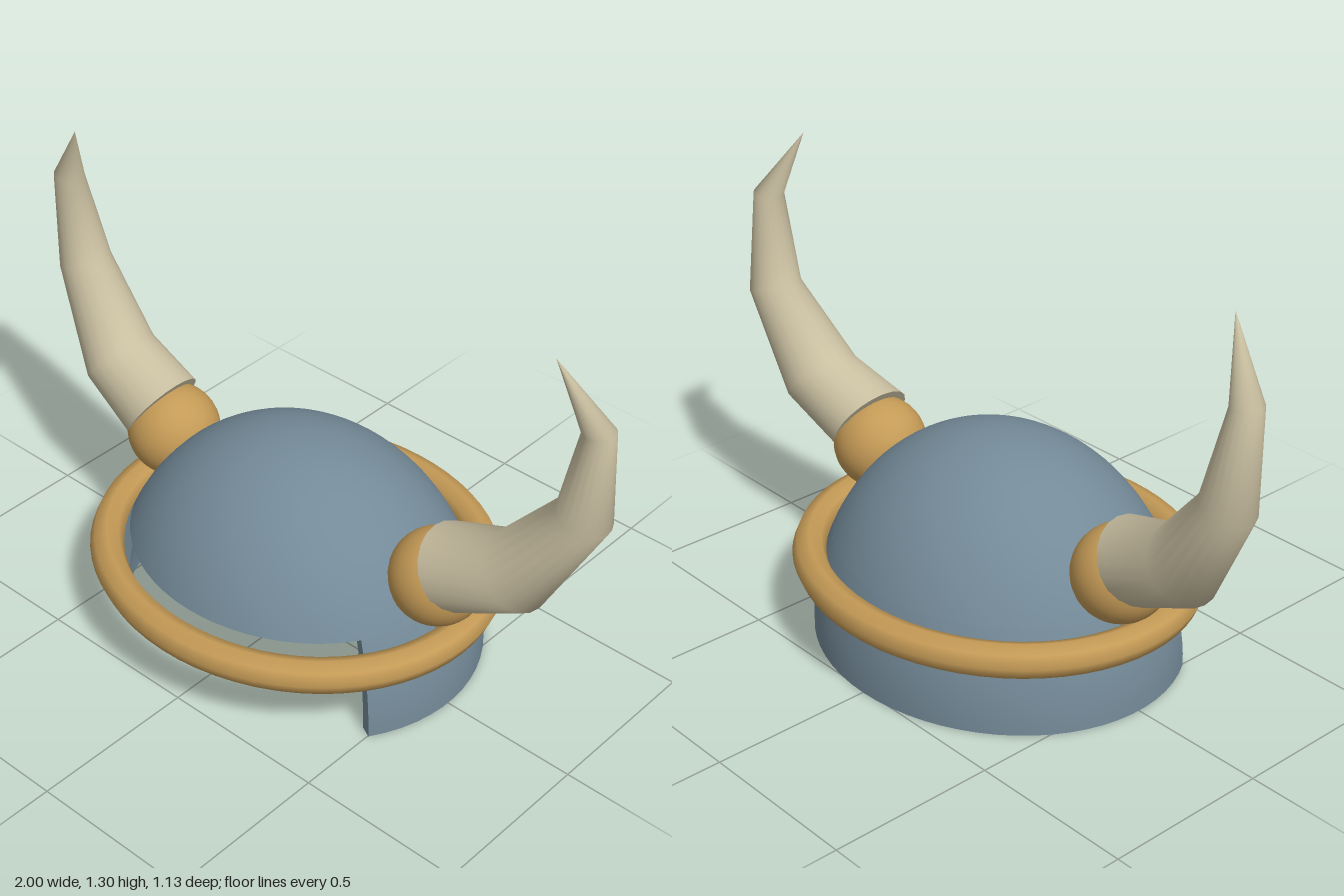
import * as THREE from 'three';
import { toCreasedNormals } from 'three/addons/utils/BufferGeometryUtils.js';

const mat = (color) => new THREE.MeshStandardMaterial({ color, side: THREE.DoubleSide });
const steel = mat(0x748a98), gold = mat(0xc49a56), bone = mat(0xc8bea0);

const RX = 0.58, RY = 0.64, WALL = 0.04, DEPTH = 0.51 / 0.58;
const BROW = 0.3; // height of the face opening

function add(parent, name, geometry, material) {
  const mesh = new THREE.Mesh(geometry, material);
  mesh.name = name;
  parent.add(mesh);
  return mesh;
}

// Closed wall profile between two heights: outer curve up, inner curve down
function wallProfile(y0, y1, steps) {
  const arc = (rx, ry) => {
    const a0 = Math.asin(y0 / ry), a1 = Math.asin(Math.min(1, y1 / ry));
    return Array.from({ length: steps + 1 }, (_, i) => {
      const a = a0 + (a1 - a0) * i / steps;
      return new THREE.Vector2(Math.max(0, rx * Math.cos(a)), ry * Math.sin(a));
    });
  };
  const outer = arc(RX, RY), inner = arc(RX - WALL, RY - WALL).reverse();
  return [...outer, ...inner];
}

function wall(profile, segments, start, length) {
  const geo = new THREE.LatheGeometry([...profile, profile[0].clone()], segments, start, length);
  geo.scale(1, 1, DEPTH);
  return toCreasedNormals(geo, 0.7);
}

// Sections of the left horn: inner edge x, y, outer edge x, y, centre z
const hornSections = [
  [0.49, 0.585, 0.625, 0.37, -0.015],
  [0.675, 0.645, 0.835, 0.475, -0.038],
  [0.85, 0.84, 1.0, 0.79, -0.072],
  [0.91, 1.095, 1.0, 1.105, -0.057],
  [0.85, 1.3, 0.85, 1.3, 0.002],
];

function hornGeometry(side) {
  const n = 20, pos = [], idx = [];
  const face = (a, b, c) => (side > 0 ? idx.push(a, b, c) : idx.push(a, c, b));
  hornSections.forEach(([ix, iy, ox, oy, z], i) => {
    const cx = (ix + ox) / 2, cy = (iy + oy) / 2, ux = ox - cx, uy = oy - cy;
    const r = Math.hypot(ux, uy);
    for (let j = 0; j < n; j++) {
      const c = Math.cos(j / n * Math.PI * 2), s = Math.sin(j / n * Math.PI * 2);
      pos.push(side * (cx + ux * c), cy + uy * c, z + r * s);
      if (i === 0) continue;
      const k = (j + 1) % n, lo = (i - 1) * n, hi = i * n;
      face(lo + j, hi + j, lo + k);
      if (i < hornSections.length - 1) face(lo + k, hi + j, hi + k);
    }
  });
  // Base cap
  for (let j = 1; j < n - 1; j++) face(0, j, j + 1);
  const geo = new THREE.BufferGeometry();
  geo.setAttribute('position', new THREE.Float32BufferAttribute(pos, 3));
  geo.setIndex(idx);
  return toCreasedNormals(geo, 0.9);
}

export function createModel() {
  const model = new THREE.Group();
  model.name = 'hornedHelmet';

  // Dome above the brow
  add(model, 'dome', wall(wallProfile(BROW, RY, 20), 64, 0, Math.PI * 2), steel);

  // Neck guard: lower wall around the sides and back, open at the front
  const guard = new THREE.Group();
  guard.name = 'neckGuard';
  model.add(guard);
  const profile = wallProfile(0, BROW, 8);
  const start = Math.PI / 3;
  add(guard, 'guardWall', wall(profile, 44, start, Math.PI * 4 / 3), steel);
  for (const phi of [start, -start]) {
    const end = new THREE.ShapeGeometry(new THREE.Shape(profile));
    end.rotateY(phi - Math.PI / 2).scale(1, 1, DEPTH);
    add(guard, 'guardEnd', end, steel);
  }

  // Oval rim with an even tube thickness
  const rim = new THREE.TorusGeometry(0.585, 0.05, 8, 64).rotateX(Math.PI / 2);
  const p = rim.attributes.position;
  for (let i = 0; i < p.count; i++) {
    p.setZ(i, p.getZ(i) - 0.07 * Math.sin(Math.atan2(p.getZ(i), p.getX(i))));
  }
  add(model, 'rim', rim, gold).position.y = 0.247;

  // Horns and their round sockets
  for (const side of [1, -1]) {
    const name = side > 0 ? 'left' : 'right';
    const socket = add(model, name + 'Socket', new THREE.SphereGeometry(0.14, 32, 20), gold);
    socket.position.set(side * 0.51, 0.42, -0.015);
    add(model, name + 'Horn', hornGeometry(side), bone);
  }
  return model;
}
